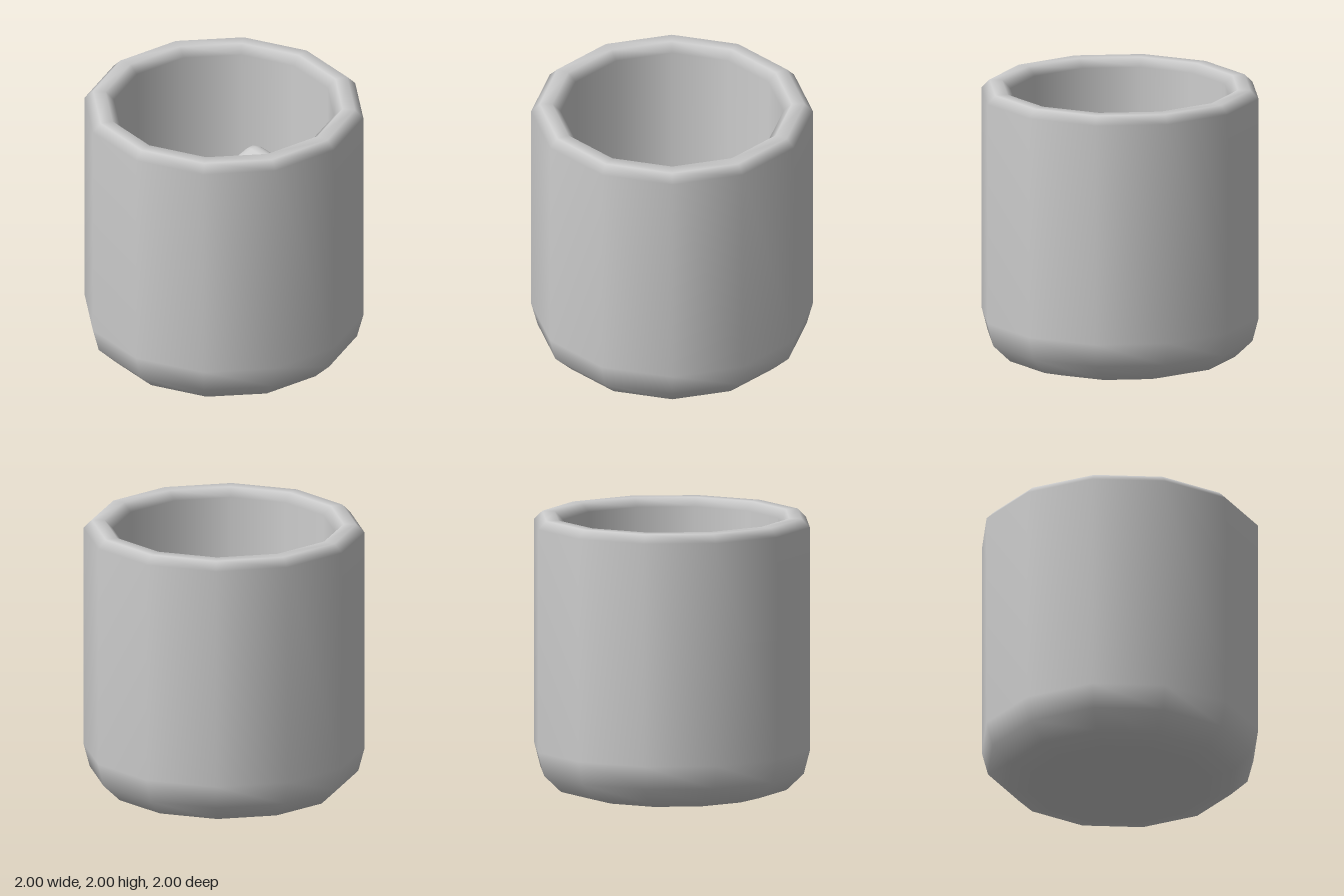
import * as THREE from 'three';
import { RoundedBoxGeometry } from 'three/addons/geometries/RoundedBoxGeometry.js';

const SIDES = 12;
const material = new THREE.MeshStandardMaterial({ color: 0xcccccc });

// Smooth-shaded solid of revolution from [radius, height] pairs
function turned(name, profile) {
  const points = profile.map(([r, y]) => new THREE.Vector2(r, y));
  const mesh = new THREE.Mesh(new THREE.LatheGeometry(points, SIDES), material);
  mesh.name = name;
  return mesh;
}

// Rounded cube: yaw first, then tilt about its own x or z axis
function iceCube(name, position, yaw, tiltX, tiltZ) {
  const rad = THREE.MathUtils.degToRad;
  const mesh = new THREE.Mesh(new RoundedBoxGeometry(0.58, 0.58, 0.58, 2, 0.09), material);
  mesh.name = name;
  mesh.position.set(...position);
  mesh.rotation.set(rad(tiltX), rad(yaw), rad(tiltZ), 'YXZ');
  return mesh;
}

export function createModel() {
  const model = new THREE.Group();
  model.name = 'tumblerWithIce';

  // Thick-walled tumbler: rounded foot, straight wall, bevelled lip, cavity
  model.add(turned('glass', [
    [0, 0], [0.65, 0], [0.83, 0.05], [0.955, 0.17], [1, 0.34],
    [1, 1.94], [0.94, 2], [0.85, 2], [0.79, 1.94],
    [0.785, 0.42], [0.72, 0.28], [0.55, 0.2], [0, 0.2],
  ]));

  // Drink filling the lower part of the cavity
  model.add(turned('drink', [
    [0, 0.21], [0.54, 0.21], [0.7, 0.29], [0.77, 0.43], [0.77, 0.88], [0, 0.88],
  ]));

  // Ice floating in the drink
  model.add(iceCube('backIceCube', [0.03, 1.0, -0.37], -14, 22, 0));
  model.add(iceCube('frontIceCube', [0.02, 0.68, 0.33], -40, 0, 25));

  return model;
}
